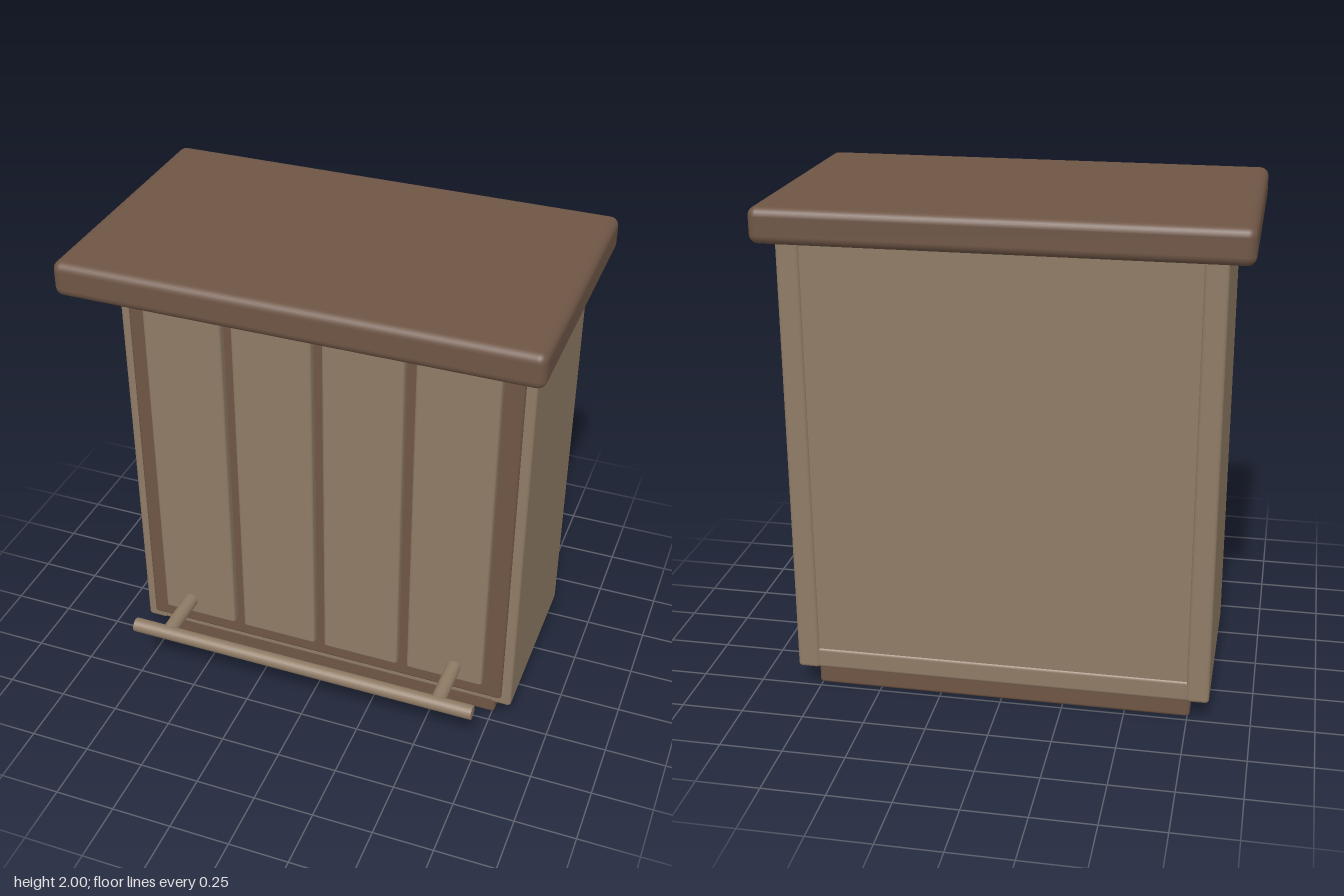
import * as THREE from 'three';
import { RoundedBoxGeometry } from 'three/addons/geometries/RoundedBoxGeometry.js';

export function createModel() {
  const group = new THREE.Group();
  group.name = 'cabinet';

  const lightWood = new THREE.MeshStandardMaterial({ color: 0x8f7b65 });
  lightWood.name = 'light wood';
  const darkWood = new THREE.MeshStandardMaterial({ color: 0x6e5545 });
  darkWood.name = 'dark wood';

  // Board with softened edges, given by its extents on each axis
  function board(name, material, [x0, x1], [y0, y1], [z0, z1], radius) {
    const geometry = new RoundedBoxGeometry(x1 - x0, y1 - y0, z1 - z0, 3, radius);
    const mesh = new THREE.Mesh(geometry, material);
    mesh.position.set((x0 + x1) / 2, (y0 + y1) / 2, (z0 + z1) / 2);
    mesh.name = name;
    group.add(mesh);
  }

  function rod(name, length, radius) {
    const mesh = new THREE.Mesh(new THREE.CylinderGeometry(radius, radius, length, 24), lightWood);
    mesh.name = name;
    group.add(mesh);
    return mesh;
  }

  // Plinth and worktop
  board('plinth', darkWood, [-0.76, 0.76], [0, 0.11], [-0.48, 0.205], 0.015);
  board('worktop', darkWood, [-0.927, 0.927], [1.86, 2], [-0.556, 0.556], 0.035);

  // Carcass
  board('leftSide', lightWood, [0.745, 0.835], [0.09, 1.88], [-0.52, 0.24], 0.015);
  board('rightSide', lightWood, [-0.835, -0.745], [0.09, 1.88], [-0.52, 0.24], 0.015);
  board('bottomBoard', lightWood, [-0.76, 0.76], [0.09, 0.18], [-0.515, 0.235], 0.015);
  board('topBoard', lightWood, [-0.76, 0.76], [1.79, 1.88], [-0.505, 0.235], 0.015);
  board('backPanel', lightWood, [-0.76, 0.76], [0.12, 1.88], [-0.51, -0.45], 0.008);

  // Door with four raised slats
  board('door', darkWood, [-0.795, 0.795], [0.13, 1.825], [0.2, 0.253], 0.012);
  for (let i = 0; i < 4; i++) {
    const x = (i - 1.5) * 0.369;
    board('doorSlat', lightWood, [x - 0.163, x + 0.163], [0.21, 1.742], [0.23, 0.287], 0.012);
  }

  // Towel rail on two brackets
  const rail = rod('rail', 1.49, 0.03);
  rail.rotation.z = Math.PI / 2;
  rail.position.set(0, 0.283, 0.515);
  for (const side of [-1, 1]) {
    const bracket = rod('railBracket', 0.25, 0.03);
    bracket.rotation.x = Math.PI / 2;
    bracket.position.set(side * 0.595, 0.283, 0.39);
  }

  return group;
}
